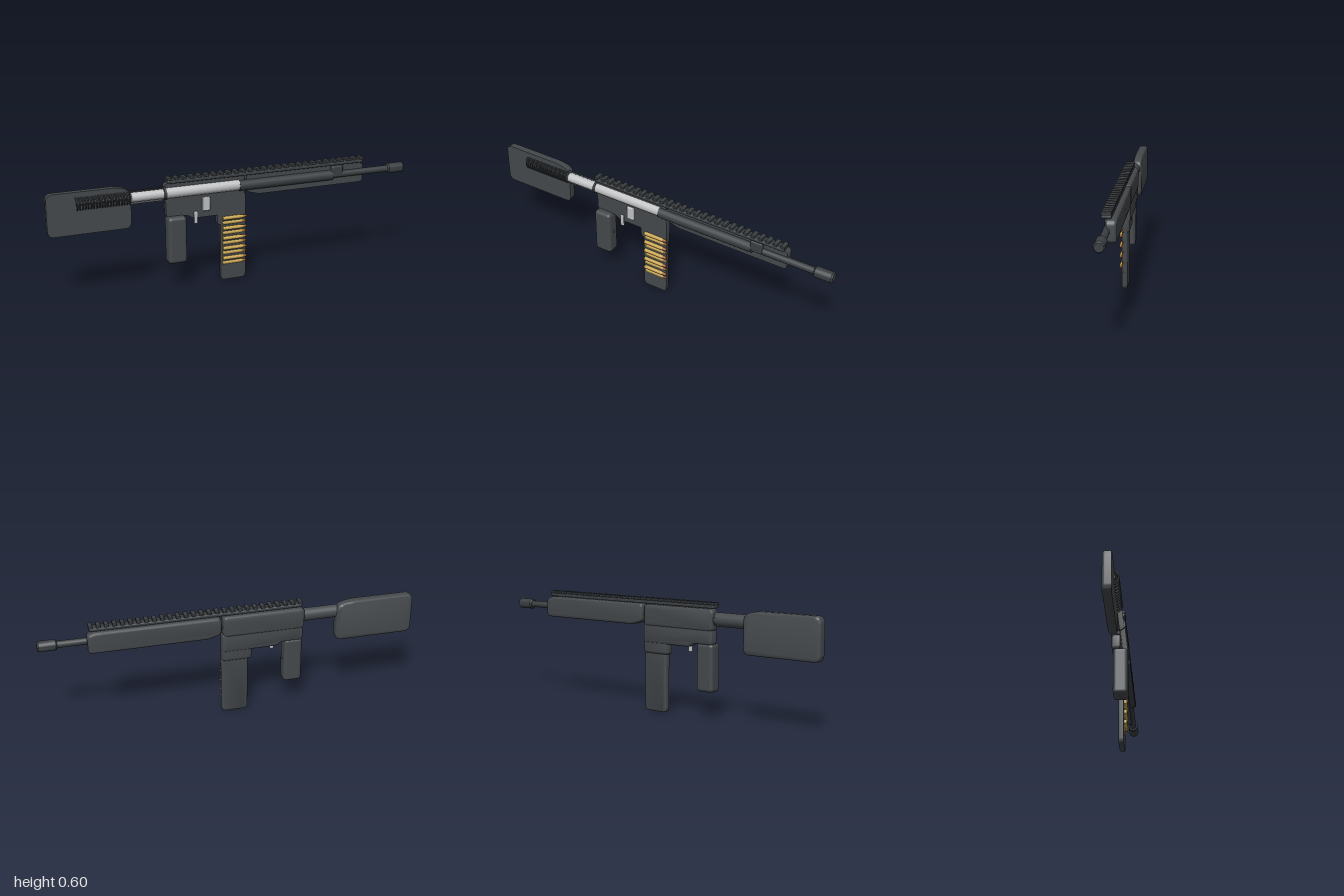
import * as THREE from 'three';
import { toCreasedNormals } from 'three/addons/utils/BufferGeometryUtils.js';
import { RoundedBoxGeometry } from 'three/addons/geometries/RoundedBoxGeometry.js';

const CUT = 0.005;   // z of the flat cutaway plane
const AXIS = 0.512;  // height of the barrel axis

const paint = (name, color) => Object.assign(new THREE.MeshStandardMaterial({ color }), { name });

export function createModel() {
  const body = paint('body grey', 0x45494c);
  const dark = paint('dark steel', 0x3b3f42);
  const steel = paint('bright steel', 0xc0c2c4);
  const brass = paint('brass', 0xc9a652);
  const copper = paint('copper', 0xa5652f);
  const group = new THREE.Group();

  function add(name, geometry, material, x = 0, y = 0, z = 0, parent = group) {
    const mesh = new THREE.Mesh(geometry, material);
    mesh.name = name;
    mesh.position.set(x, y, z);
    parent.add(mesh);
    return mesh;
  }

  // Polygon with rounded corners
  function roundedShape(points, r) {
    const shape = new THREE.Shape();
    const pts = points.map(p => new THREE.Vector2(...p));
    pts.forEach((p, i) => {
      const prev = pts[(i + pts.length - 1) % pts.length], next = pts[(i + 1) % pts.length];
      const a = p.clone().add(prev.clone().sub(p).setLength(r));
      const b = p.clone().add(next.clone().sub(p).setLength(r));
      if (i === 0) shape.moveTo(a.x, a.y); else shape.lineTo(a.x, a.y);
      shape.quadraticCurveTo(p.x, p.y, b.x, b.y);
    });
    shape.closePath();
    return shape;
  }

  // Half shell: flat on the cut plane, rounded at the back
  function halfShell(name, points, back, r = 0.03, bevel = 0.014) {
    const depth = 2 * (CUT - back - bevel);
    const geo = new THREE.ExtrudeGeometry(roundedShape(points, r), {
      depth, bevelThickness: bevel, bevelSize: bevel, bevelOffset: -bevel, bevelSegments: 4, curveSegments: 6,
    });
    geo.translate(0, 0, back + bevel);
    const pos = geo.attributes.position;
    for (let i = 0; i < pos.count; i++) pos.setZ(i, Math.min(pos.getZ(i), CUT));
    return add(name, toCreasedNormals(geo, 0.6), body);
  }
  const rect = (x0, x1, y0, y1) => [[x0, y0], [x1, y0], [x1, y1], [x0, y1]];

  // Cylinder along x between two stations
  function rod(name, x0, x1, r, material, y = AXIS, z = CUT, r1 = r, parent = group) {
    const geo = new THREE.CylinderGeometry(r1, r, x1 - x0, 20).rotateZ(-Math.PI / 2);
    return add(name, geo, material, (x0 + x1) / 2, y, z, parent);
  }

  // Cut shells
  halfShell('stock', [[-1, 0.355], [-0.57, 0.355], [-0.57, 0.555], [-0.64, 0.575], [-1, 0.575]], -0.04, 0.035);
  halfShell('upperReceiver', rect(-0.39, 0.05, 0.455, 0.568), -0.042, 0.022);
  halfShell('lowerReceiver', [[-0.385, 0.385], [-0.27, 0.385], [-0.24, 0.365], [0.055, 0.365],
    [0.055, 0.47], [-0.385, 0.47]], -0.038, 0.016);
  halfShell('magazineWell', [[-0.105, 0.31], [0.055, 0.31], [0.055, 0.44], [-0.06, 0.44], [-0.105, 0.4]], -0.034, 0.018);
  halfShell('magazine', rect(-0.087, 0.055, 0, 0.4), -0.023, 0.024, 0.01);
  halfShell('handguard', [[0.06, 0.475], [0.13, 0.455], [0.75, 0.455], [0.75, 0.56], [0.7, 0.57], [0.06, 0.57]], -0.044, 0.022);

  // Half tube behind the buffer
  const tube = new THREE.CylinderGeometry(0.036, 0.036, 0.22, 20, 1, false, Math.PI / 2, Math.PI).rotateZ(-Math.PI / 2);
  const shell = paint('tube grey', 0x45494c);
  shell.side = THREE.DoubleSide;
  add('bufferTube', tube, shell, -0.48, 0.515, CUT);

  // Full grip
  add('grip', new RoundedBoxGeometry(0.1, 0.25, 0.075, 4, 0.018), body, -0.335, 0.265, 0.0055);
  add('gripButton', new THREE.SphereGeometry(0.007, 10, 8), dark, -0.285, 0.27, CUT);

  // Barrel group
  rod('barrel', 0.0, 0.92, 0.018, dark);
  rod('barrelSleeve', 0.015, 0.56, 0.028, dark);
  const muzzle = [[0, -0.05], [0.022, -0.05], [0.028, -0.044], [0.028, 0.042], [0.022, 0.05], [0, 0.05]];
  add('muzzle', toCreasedNormals(new THREE.LatheGeometry(muzzle.map(p => new THREE.Vector2(...p)), 24)
    .rotateZ(-Math.PI / 2), 0.6), dark, 0.95, AXIS, CUT);
  add('gasBlock', new RoundedBoxGeometry(0.066, 0.062, 0.046, 3, 0.008), dark, 0.586, 0.533, CUT);

  // Bright internals
  rod('bolt', -0.39, 0.015, 0.029, steel, 0.516, 0.0);
  rod('bufferRod', -0.57, -0.39, 0.025, steel, 0.514, 0.0);
  rod('boltCollar', -0.398, -0.386, 0.033, dark, 0.515, 0.0);
  add('hammer', new RoundedBoxGeometry(0.042, 0.074, 0.026, 2, 0.005), steel, -0.168, 0.437, CUT);
  add('trigger', new RoundedBoxGeometry(0.02, 0.066, 0.014, 2, 0.005), steel, -0.225, 0.368, CUT);

  // Recoil spring
  const coils = 20, turns = [];
  for (let i = 0; i <= coils * 12; i++) {
    const a = i / 12 * Math.PI * 2;
    turns.push(new THREE.Vector3(-0.853 + 0.283 * i / (coils * 12), 0.514 + 0.032 * Math.cos(a), 0.028 * Math.sin(a)));
  }
  add('recoilSpring', new THREE.TubeGeometry(new THREE.CatmullRomCurve3(turns), coils * 16, 0.004, 6), dark);
  rod('springCore', -0.85, -0.57, 0.012, dark, 0.514, 0);

  // Top rail with teeth
  const rail = new THREE.Group();
  rail.name = 'topRail';
  group.add(rail);
  add('railBase', new RoundedBoxGeometry(1.12, 0.018, 0.05, 2, 0.006), dark, 0.178, 0.578, CUT, rail);
  const tooth = new RoundedBoxGeometry(0.022, 0.014, 0.05, 2, 0.003);
  for (let i = 0; i < 28; i++) add('railTooth', tooth, dark, -0.372 + i * 0.0408, 0.593, CUT, rail);

  // Two staggered columns of cartridges
  const rounds = new THREE.Group();
  rounds.name = 'cartridges';
  group.add(rounds);
  const tip = [[0.0085, 0], [0.008, 0.009], [0.005, 0.018], [0.001, 0.024], [0, 0.024]];
  const tipGeo = new THREE.LatheGeometry(tip.map(p => new THREE.Vector2(...p)), 14).rotateZ(-Math.PI / 2);
  for (let i = 0; i < 10; i++) {
    const y = 0.345 - i * 0.0278, z = i % 2 ? 0.001 : 0.012;
    rod('cartridgeRim', -0.077, -0.07, 0.0105, brass, y, z, 0.0105, rounds);
    rod('cartridgeCase', -0.07, 0.025, 0.01, brass, y, z, 0.01, rounds);
    rod('cartridgeNeck', 0.025, 0.037, 0.01, brass, y, z, 0.0085, rounds);
    add('cartridgeTip', tipGeo, copper, 0.037, y, z, rounds);
  }

  return group;
}
